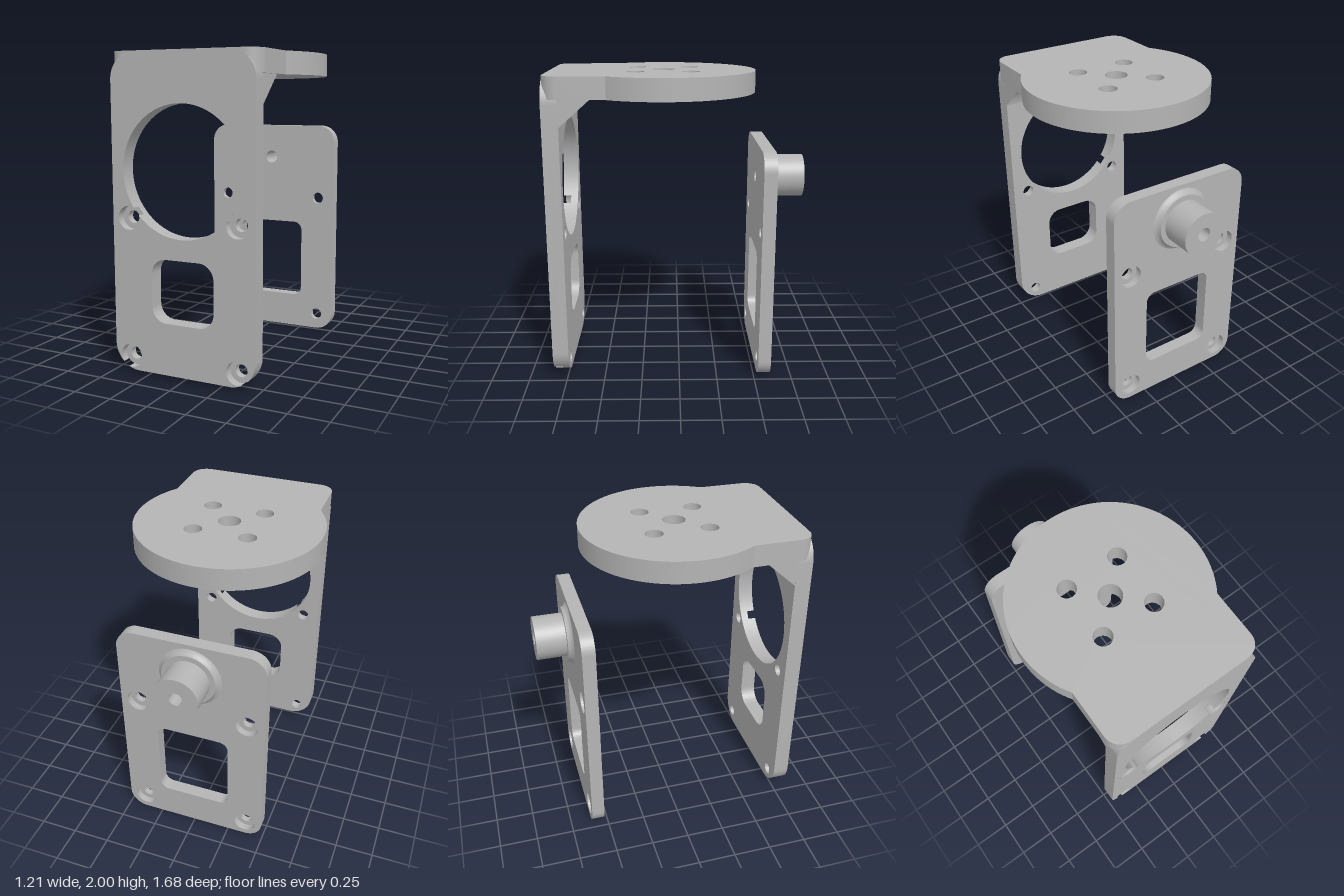
import * as THREE from 'three';
import { toCreasedNormals } from 'three/addons/utils/BufferGeometryUtils.js';

const PI = Math.PI;
const HOLE_Y = 1.285;                 // axis of the big opening and the boss
const SCREWS = [[-0.37, 0.11], [0.37, 0.11], [-0.37, 0.99], [0.37, 0.99]];
const BORE = 0.075, SCREW = 0.04;

function circle(x, y, r) {
  return new THREE.Path().absarc(x, y, r, 0, PI * 2, false);
}

// Arc around (cx, cy) interrupted by screw recesses that cross it
function bittenArc(path, cx, cy, R, start, end, bites, clockwise) {
  let from = start;
  for (const [hx, hy] of bites) {
    let phi = Math.atan2(hy - cy, hx - cx);
    while (phi < start) phi += PI * 2;
    const d = Math.hypot(hx - cx, hy - cy);
    const x = (d * d + R * R - BORE * BORE) / (2 * d);
    const a = Math.acos(x / R), b = Math.acos((x - d) / BORE);
    path.absarc(cx, cy, R, from, phi - a, false);
    path.absarc(hx, hy, BORE, phi - b, phi + b, clockwise);
    from = phi + a;
  }
  path.absarc(cx, cy, R, from, end, false);
  return path;
}

// Rounded rectangle; the two lower corners may be cut by screw recesses
function roundRect(path, w, y0, y1, r, biteLeft = [], biteRight = []) {
  bittenArc(path, -w + r, y0 + r, r, PI, PI * 1.5, biteLeft, true);
  bittenArc(path, w - r, y0 + r, r, PI * 1.5, PI * 2, biteRight, true);
  path.absarc(w - r, y1 - r, r, 0, PI / 2, false);
  path.absarc(-w + r, y1 - r, r, PI / 2, PI, false);
  path.closePath();
  return path;
}

function extrude(shape, depth) {
  return new THREE.ExtrudeGeometry(shape, { depth, bevelEnabled: false, curveSegments: 40 });
}

export function createModel() {
  const group = new THREE.Group();
  const metal = new THREE.MeshStandardMaterial({ color: 0xb4b4b4 });
  metal.name = 'grey metal';

  function add(name, geometry, x = 0, y = 0, z = 0) {
    const mesh = new THREE.Mesh(toCreasedNormals(geometry, 0.5), metal);
    mesh.name = name;
    mesh.position.set(x, y, z);
    group.add(mesh);
  }
  const addScrewHoles = (shape, r, list = SCREWS) =>
    list.forEach(([x, y]) => shape.holes.push(circle(x, y, r)));

  // Front plate, inner layer with the narrow screw holes
  const inner = roundRect(new THREE.Shape(), 0.485, 0.02, 1.999, 0.17);
  inner.holes.push(circle(0, HOLE_Y, 0.405));
  inner.holes.push(roundRect(new THREE.Path(), 0.213, 0.35, 0.75, 0.1));
  addScrewHoles(inner, SCREW);
  add('frontPlateInner', extrude(inner, 0.05), 0, 0, 0.735);

  // Front plate, outer layer with recesses breaking into the edges
  const outer = roundRect(new THREE.Shape(), 0.485, 0.02, 1.999, 0.17, [SCREWS[0]], [SCREWS[1]]);
  outer.holes.push(bittenArc(new THREE.Path(), 0, HOLE_Y, 0.405, PI / 2, PI * 2.5,
    [SCREWS[2], SCREWS[3]], false));
  outer.holes.push(roundRect(new THREE.Path(), 0.213, 0.35, 0.75, 0.1));
  add('frontPlateOuter', extrude(outer, 0.055), 0, 0, 0.785);

  // Top plate: disc joined to a rounded tab (shape y becomes z)
  const R = 0.605, cz = 0.1, w = 0.5, zf = 0.838, rc = 0.1;
  const t = Math.acos(w / R);
  const top = new THREE.Shape();
  top.absarc(0, cz, R, PI - t, PI * 2 + t, false);
  top.absarc(w - rc, zf - rc, rc, 0, PI / 2, false);
  top.absarc(-w + rc, zf - rc, rc, PI / 2, PI, false);
  top.closePath();
  top.holes.push(circle(0, cz, 0.073));
  for (const sx of [-1, 1])
    for (const sz of [-1, 1]) top.holes.push(circle(sx * 0.177, cz + sz * 0.177, 0.058));
  add('topPlate', extrude(top, 0.14).rotateX(PI / 2), 0, 2, 0);

  // Fillet between the top plate and the front plate (shape x becomes -z)
  const fillet = new THREE.Shape();
  fillet.moveTo(-0.74, 1.69);
  fillet.absarc(-0.53, 1.66, 0.205, PI - 0.147, PI / 2, true);
  fillet.lineTo(-0.53, 1.87);
  fillet.lineTo(-0.74, 1.87);
  fillet.closePath();
  add('fillet', extrude(fillet, 0.97).rotateY(PI / 2), -0.485, 0, 0);

  // Back plate: inner layer, then outer layer with screw recesses
  for (const [name, r, depth, z] of [
    ['backPlateInner', SCREW, 0.04, -0.565],
    ['backPlateOuter', BORE, 0.045, -0.61],
  ]) {
    const plate = roundRect(new THREE.Shape(), 0.49, 0, 1.52, 0.12);
    plate.holes.push(roundRect(new THREE.Path(), 0.245, 0.24, 0.8, 0.06));
    plate.holes.push(circle(0, HOLE_Y, 0.045));
    addScrewHoles(plate, r);
    add(name, extrude(plate, depth), 0, 0, z);
  }

  // Hollow pivot boss with a flared collar
  const profile = [
    [0.207, 0], [0.194, 0.007], [0.184, 0.018], [0.178, 0.036], [0.143, 0.036],
    [0.143, 0.23], [0.045, 0.23], [0.045, 0],
  ].map(([x, y]) => new THREE.Vector2(x, y));
  add('pivotBoss', new THREE.LatheGeometry(profile, 64).rotateX(-PI / 2), 0, HOLE_Y, -0.61);

  return group;
}
